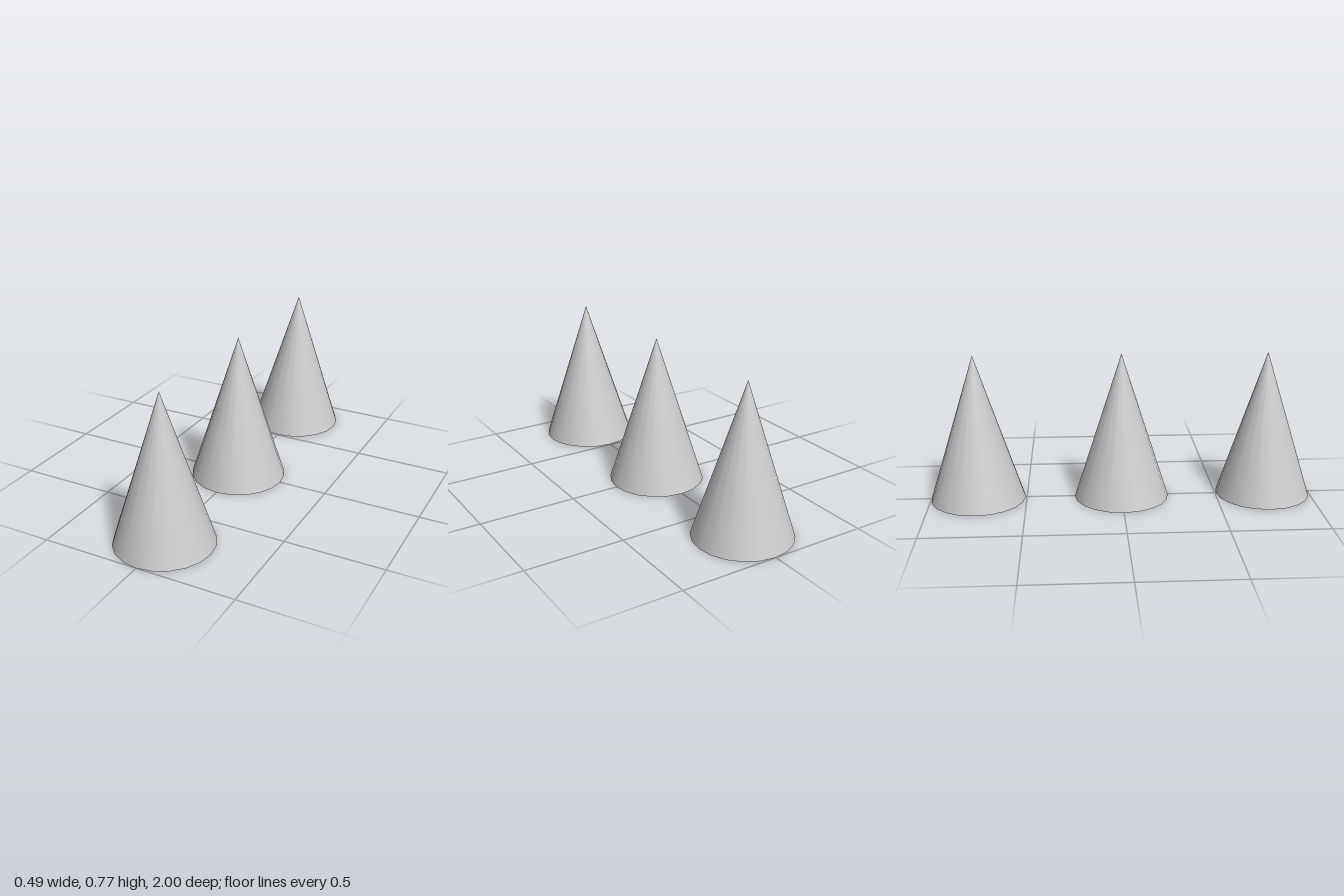
import * as THREE from 'three';

export function createModel() {
  const model = new THREE.Group();
  model.name = 'coneRow';

  const radius = 0.247;
  const height = 0.768;
  const spacing = 1 - radius;

  const material = new THREE.MeshStandardMaterial({ color: 0xcccccc });
  // Closed cone standing on its base
  const geometry = new THREE.ConeGeometry(radius, height, 20);
  geometry.translate(0, height / 2, 0);

  // Three equal cones in a row from front to back
  ['frontCone', 'middleCone', 'backCone'].forEach((name, i) => {
    const cone = new THREE.Mesh(geometry, material);
    cone.name = name;
    cone.position.z = (1 - i) * spacing;
    model.add(cone);
  });

  return model;
}
